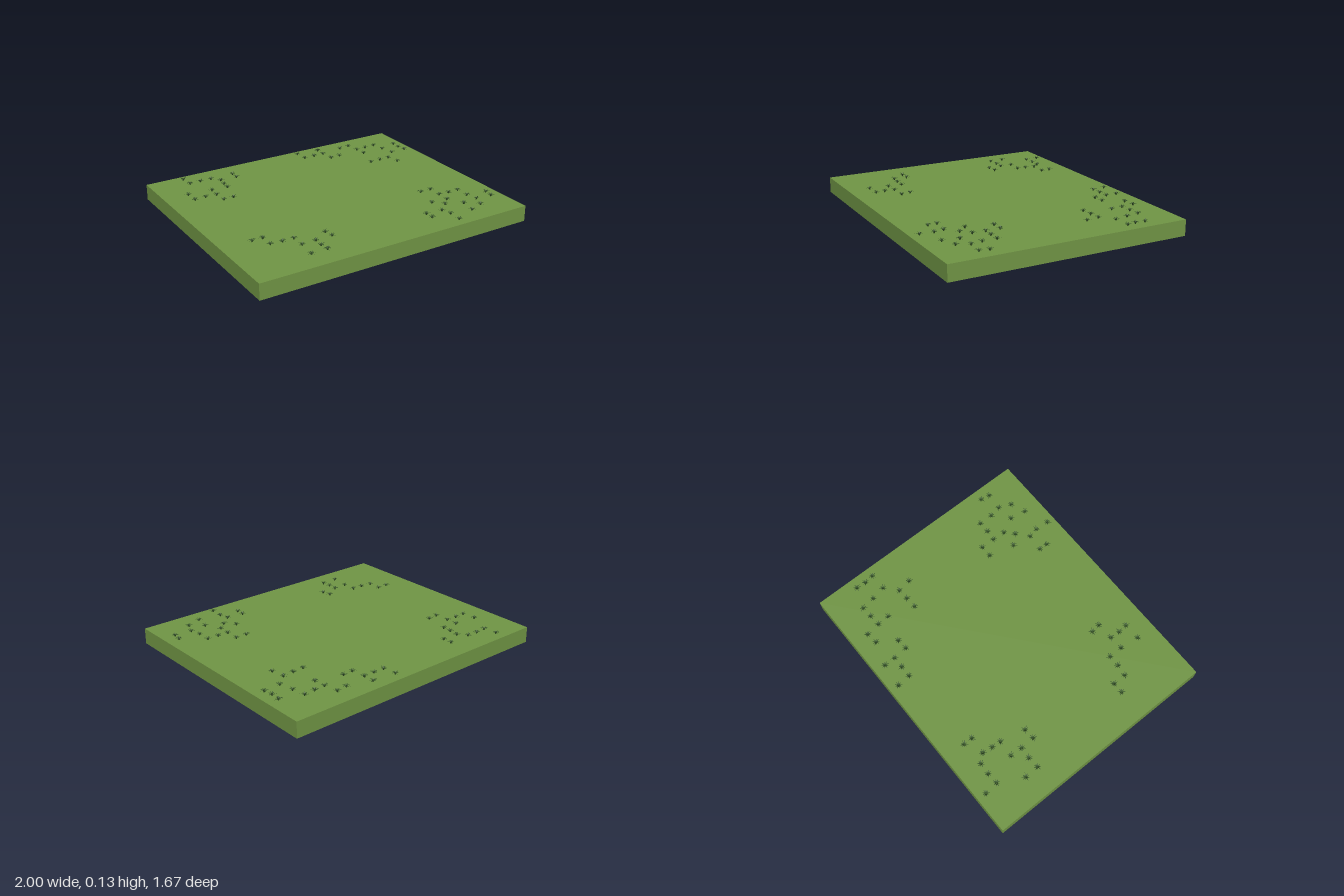
import * as THREE from 'three';
import { mergeGeometries } from 'three/addons/utils/BufferGeometryUtils.js';

const TOP = 0.11;

// Tuft positions (x, z) in each corner of the field
const patches = {
  backRight: [[-.75, -.77], [-.74, -.675], [-.66, -.68], [-.58, -.675], [-.41, -.68], [-.41, -.615],
    [-.53, -.62], [-.54, -.55], [-.545, -.485], [-.66, -.49], [-.83, -.505], [-.825, -.405],
    [-.745, -.41], [-.665, -.405], [-.66, -.305], [-.585, -.31]],
  backLeft: [[.18, -.77], [.35, -.755], [.19, -.675], [.27, -.675], [.35, -.675], [.36, -.575],
    [.435, -.58], [.52, -.705], [.6, -.715], [.615, -.615], [.695, -.62], [.775, -.625],
    [.62, -.53], [.79, -.53], [.925, -.57], [.92, -.5], [.93, -.435], [.81, -.43],
    [.565, -.345], [.645, -.35], [.725, -.355], [.74, -.26]],
  frontRight: [[-.79, .35], [-.715, .35], [-.715, .445], [-.635, .455], [-.555, .455], [-.555, .555],
    [-.455, .55], [-.46, .62], [-.455, .685], [-.57, .69], [-.345, .48], [-.335, .545]],
  frontLeft: [[.54, .295], [.62, .295], [.62, .395], [.695, .4], [.775, .4], [.775, .5],
    [.495, .475], [.615, .485], [.555, .54], [.475, .61], [.355, .6], [.355, .66],
    [.49, .68], [.485, .775], [.67, .595], [.79, .58], [.755, .665], [.65, .705],
    [.92, .525], [.91, .59]],
};

// One tapered grass blade arching outward along +x
function makeBlade(reach, height, droop, width) {
  const sections = [[0.002, 0, 0.6], [reach * 0.3, height * 0.7, 1], [reach * 0.65, height, 0.8], [reach, height * droop, 0.08]];
  const positions = [], index = [];
  sections.forEach(([x, y, w], i) => {
    positions.push(x, y, -w * width / 2, x, y, w * width / 2);
    if (i) {
      const a = 2 * i - 2;
      index.push(a, a + 1, a + 2, a + 1, a + 3, a + 2);
    }
  });
  const geometry = new THREE.BufferGeometry();
  geometry.setAttribute('position', new THREE.Float32BufferAttribute(positions, 3));
  geometry.setIndex(index);
  geometry.computeVertexNormals();
  return geometry;
}

// A ring of drooping blades around a few upright ones
function makeTuft() {
  const blades = [];
  for (let i = 0; i < 9; i++) {
    const long = 0.026 + 0.004 * Math.sin(i * 2.3);
    blades.push(makeBlade(long, 0.016 + 0.003 * Math.cos(i * 1.7), 0.8, 0.006).rotateY(i * Math.PI * 2 / 9));
  }
  for (let i = 0; i < 5; i++) {
    blades.push(makeBlade(0.013, 0.019, 1.3, 0.005).rotateY(0.3 + i * Math.PI * 2 / 5));
  }
  return mergeGeometries(blades);
}

export function createModel() {
  const model = new THREE.Group();
  model.name = 'grassField';

  // Ground slab
  const slab = new THREE.Mesh(
    new THREE.BoxGeometry(2, TOP, 1.67),
    new THREE.MeshStandardMaterial({ color: 0x719645 }));
  slab.name = 'groundSlab';
  slab.position.y = TOP / 2;
  model.add(slab);

  // Grass tufts, gathered by corner
  const tuftGeometry = makeTuft();
  const tuftMaterial = new THREE.MeshStandardMaterial({ color: 0x3a5a2c, side: THREE.DoubleSide });
  for (const [corner, spots] of Object.entries(patches)) {
    const patch = new THREE.Group();
    patch.name = corner + 'Grass';
    spots.forEach(([x, z], i) => {
      const tuft = new THREE.Mesh(tuftGeometry, tuftMaterial);
      tuft.name = 'grassTuft';
      tuft.position.set(x, TOP, z);
      tuft.rotation.y = i * 2.4;
      patch.add(tuft);
    });
    model.add(patch);
  }
  return model;
}
